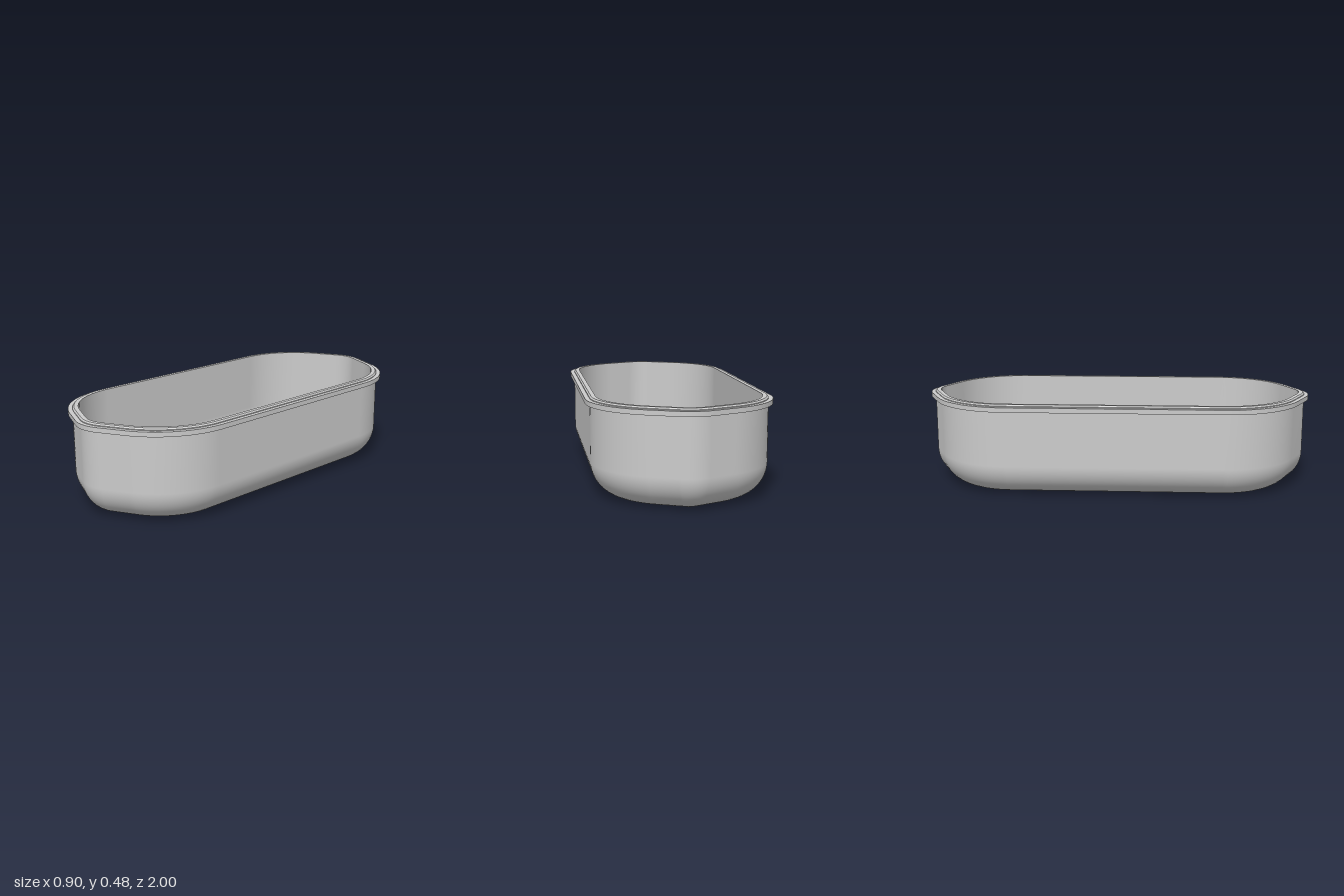
import * as THREE from 'three';

const CORNER = { x: 0.028, z: 0.54, r: 0.4 };   // large corner arc of the wall outline
const TIP = { x: 0, z: 0.807, r: 0.17 };        // small arc at the pointed ends
const SPLIT = THREE.MathUtils.degToRad(65);     // wall direction where the two arcs meet

// Outline samples: arc centre, radius and outward normal, so it can be offset evenly.
function makeOutline() {
  const quarter = [];
  const arc = (c, a0, a1, n) => {
    for (let i = 0; i <= n; i++) {
      const a = a0 + (a1 - a0) * i / n;
      quarter.push({ x: c.x, z: c.z, r: c.r, nx: Math.cos(a), nz: Math.sin(a) });
    }
  };
  arc(CORNER, 0, SPLIT, 20);
  arc(TIP, SPLIT, Math.PI / 2, 8);
  const flip = (p, sx, sz) => ({ x: p.x * sx, z: p.z * sz, r: p.r, nx: p.nx * sx, nz: p.nz * sz });
  const back = quarter.slice(0, -1).reverse();  // without the shared tip point
  return [
    ...quarter,
    ...back.map(p => flip(p, -1, 1)),
    ...quarter.map(p => flip(p, -1, -1)),
    ...back.map(p => flip(p, 1, -1)),
  ];
}

const outline = makeOutline();

// Sweeps a profile of [offset, y] around the outline; offset null is the centre point.
function sweep(profile) {
  const n = outline.length, pos = [], index = [];
  for (const [d, y] of profile) {
    for (const p of outline) {
      if (d === null) pos.push(0, y, 0);
      else pos.push(p.x + p.nx * (p.r + d), y, p.z + p.nz * (p.r + d));
    }
  }
  for (let j = 0; j < profile.length - 1; j++) {
    for (let i = 0; i < n; i++) {
      const k = (i + 1) % n;
      const a = j * n + i, b = j * n + k, c = a + n, e = b + n;
      if (profile[j][0] !== null) index.push(a, c, b);
      if (profile[j + 1][0] !== null) index.push(b, c, e);
    }
  }
  const g = new THREE.BufferGeometry();
  g.setAttribute('position', new THREE.Float32BufferAttribute(pos, 3));
  g.setIndex(index);
  g.computeVertexNormals();
  return g;
}

// Quarter-round between floor and wall, from the floor upward.
function fillet(wall, floorY, r, steps = 14) {
  return Array.from({ length: steps + 1 }, (_, i) => {
    const a = i / steps * Math.PI / 2;
    return [wall - r + r * Math.sin(a), floorY + r - r * Math.cos(a)];
  });
}

export function createModel() {
  const group = new THREE.Group();
  const material = new THREE.MeshStandardMaterial({ color: 0xcccccc });
  const add = (name, geometry) => {
    const mesh = new THREE.Mesh(geometry, material);
    mesh.name = name;
    group.add(mesh);
    return mesh;
  };

  const floorY = 0.028, inner = -0.028;

  // Outside of the tub
  add('underside', sweep([[null, 0], [-0.16, 0]]));
  add('outerWall', sweep([...fillet(0, 0, 0.16), [0, 0.442]]));

  // Flange and raised lip, each face separate so the edges stay sharp
  const rim = [[0, 0.442], [0.022, 0.442], [0.022, 0.466], [0, 0.466],
    [0, 0.47], [-0.007, 0.477], [inner, 0.477]];
  const rimGroup = new THREE.Group();
  rimGroup.name = 'rim';
  for (let i = 0; i < rim.length - 1; i++) {
    const face = new THREE.Mesh(sweep([rim[i], rim[i + 1]]), material);
    face.name = 'rimFace' + (i + 1);
    rimGroup.add(face);
  }
  group.add(rimGroup);

  // Inside of the tub
  add('innerWall', sweep([[inner, 0.477], ...fillet(inner, floorY, 0.135).reverse()]));
  add('floor', sweep([[inner - 0.135, floorY], [null, floorY]]));

  // Small low button on the floor near the back
  const button = add('floorButton', new THREE.SphereGeometry(0.035, 24, 8, 0, Math.PI * 2, 0, Math.PI / 2));
  button.scale.y = 0.25;
  button.position.set(0, floorY, -0.605);

  return group;
}
